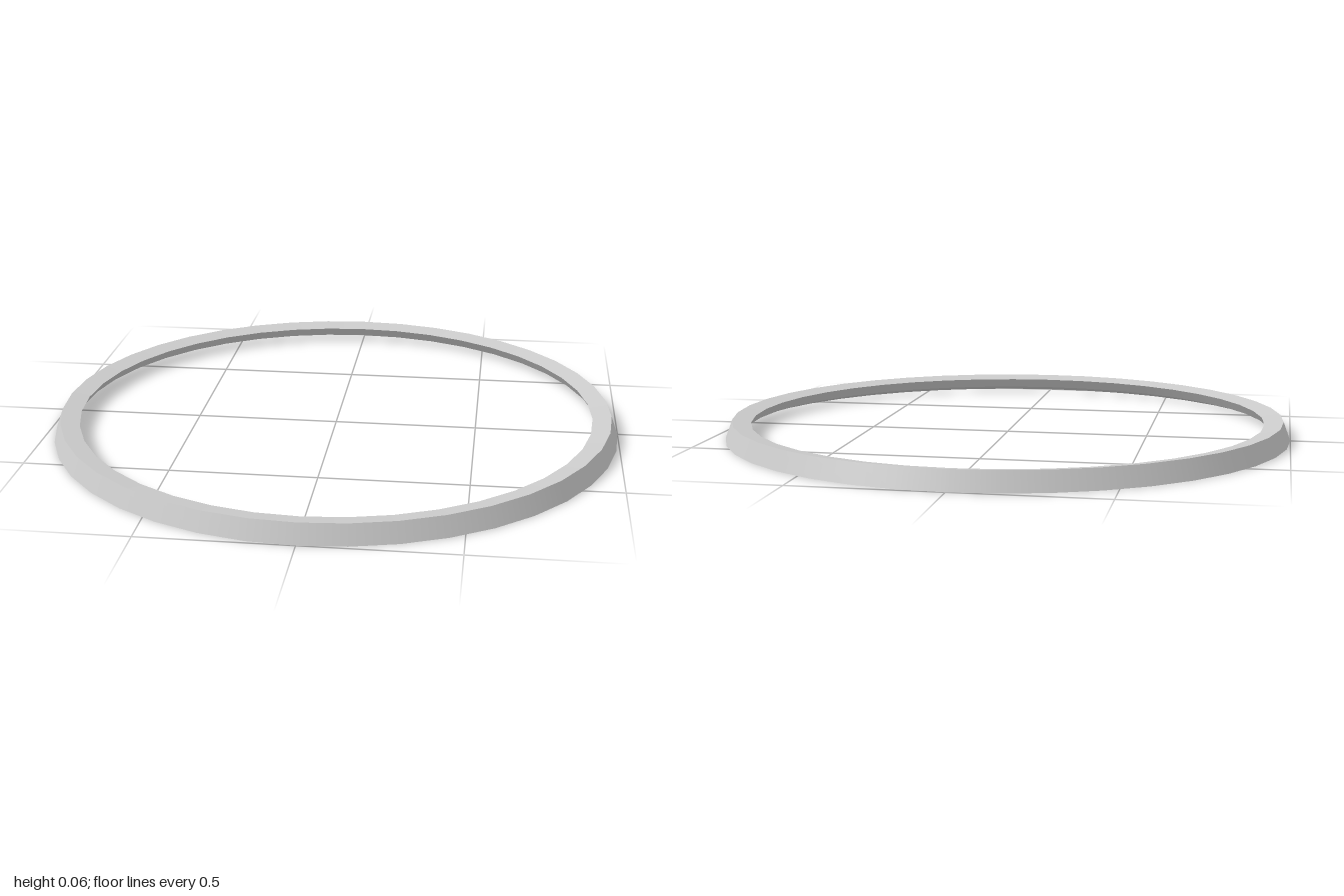
import * as THREE from 'three';
import { mergeGeometries } from 'three/addons/utils/BufferGeometryUtils.js';

const SIDES = 40;

// Ring cross-section as [radius, height], counter-clockwise from the outer foot
const PROFILE = [
  [1.0, 0.0],
  [0.976, 0.065],
  [0.91, 0.054],
  [0.935, 0.019],
];

export function createModel() {
  const group = new THREE.Group();
  group.name = 'ring';

  // One lathe per face of the profile: smooth around, sharp at the corners
  const strips = PROFILE.map((p, i) => {
    const q = PROFILE[(i + 1) % PROFILE.length];
    return new THREE.LatheGeometry([new THREE.Vector2(...p), new THREE.Vector2(...q)], SIDES);
  });

  const band = new THREE.Mesh(
    mergeGeometries(strips),
    new THREE.MeshStandardMaterial({ color: 0xcccccc })
  );
  band.name = 'ringBand';
  group.add(band);
  return group;
}
